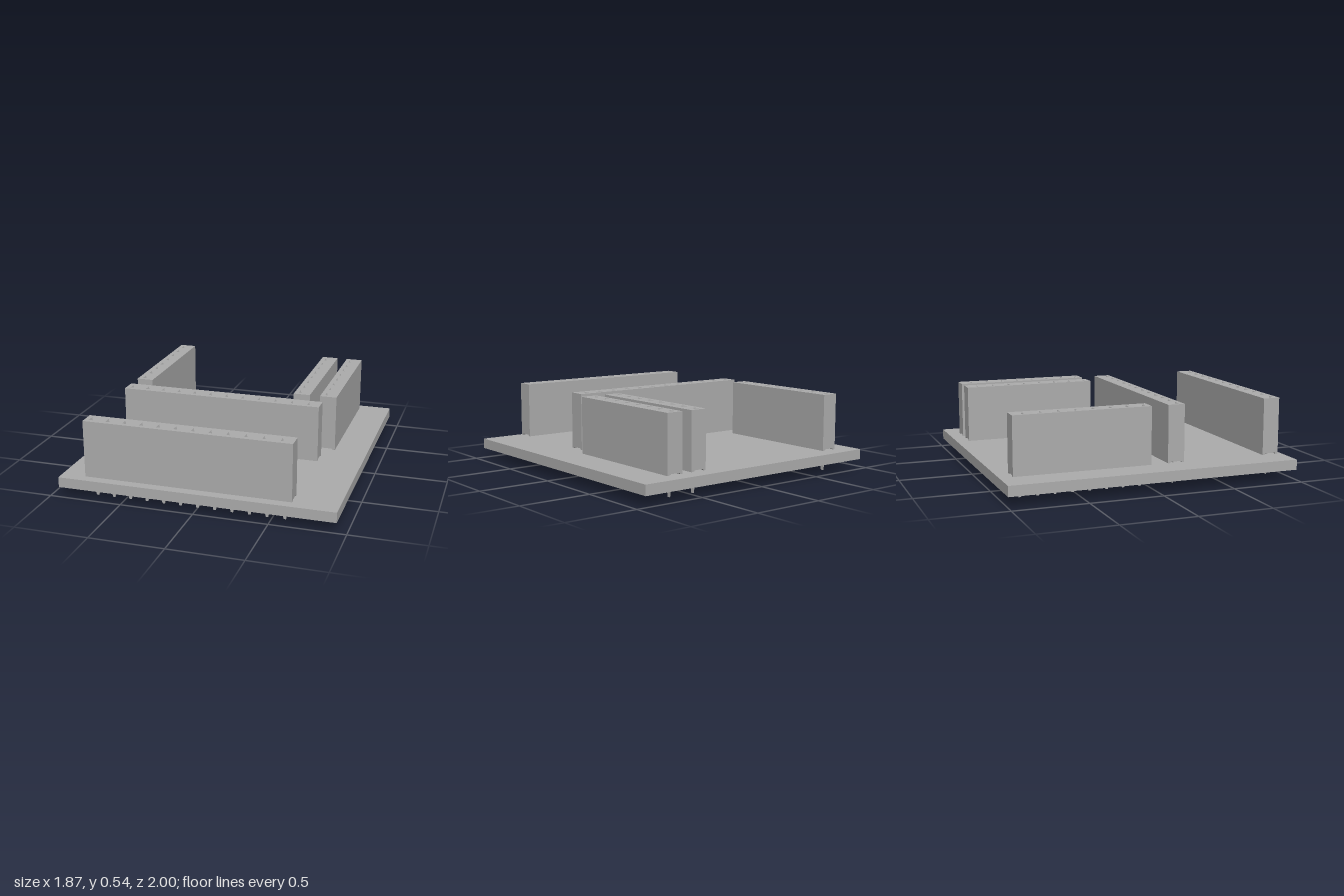
import * as THREE from 'three';

const PITCH = 0.1168;
const grey = new THREE.MeshStandardMaterial({ color: 0xacacac, side: THREE.DoubleSide });
grey.name = 'plain grey';
grey.flatShading = true;

function mesh(name, geometry, parent) {
  const m = new THREE.Mesh(geometry, grey);
  m.name = name;
  parent.add(m);
  return m;
}

function polygon(points) {
  return new THREE.Shape(points.map(([x, y]) => new THREE.Vector2(x, y)));
}

// Socket block with square wells that narrow below a funnel mouth
function housingGeometry(centres, length, width, bottom, top) {
  const l = length / 2, w = width / 2, mouth = 0.028, well = 0.018;
  const shape = polygon([[-l, -w], [l, -w], [l, w], [-l, w]]);
  for (const c of centres) {
    shape.holes.push(polygon([[c - mouth, -mouth], [c - mouth, mouth], [c + mouth, mouth], [c + mouth, -mouth]]));
  }
  const height = top - bottom;
  const geo = new THREE.ExtrudeGeometry(shape, { depth: height, steps: 2, bevelEnabled: false });
  const p = geo.attributes.position;
  for (let i = 0; i < p.count; i++) {
    const z = p.getZ(i);
    if (z > height * 0.9) continue;
    if (z > height * 0.1) p.setZ(i, height - 0.025);
    if (Math.abs(p.getY(i)) < w - 0.001) {
      const x = p.getX(i);
      const c = centres.reduce((a, b) => (Math.abs(b - x) < Math.abs(a - x) ? b : a));
      p.setX(i, c + Math.sign(x - c) * well);
      p.setY(i, Math.sign(p.getY(i)) * well);
    }
  }
  geo.computeVertexNormals();
  geo.rotateX(-Math.PI / 2);
  geo.translate(0, bottom, 0);
  return geo;
}

// Closed floor of the block, with a shallow groove underneath
function floorGeometry(length, width) {
  const w = width / 2;
  const geo = new THREE.ExtrudeGeometry(polygon([
    [-w, 0.148], [-w + 0.014, 0.148], [-w + 0.022, 0.157], [w - 0.022, 0.157],
    [w - 0.014, 0.148], [w, 0.148], [w, 0.175], [-w, 0.175],
  ]), { depth: length, bevelEnabled: false });
  geo.translate(0, 0, -length / 2);
  geo.rotateY(Math.PI / 2);
  return geo;
}

// Flat solder pin with a tapered tip
function pinGeometry() {
  const geo = new THREE.ExtrudeGeometry(polygon([
    [-0.008, 0], [0.008, 0], [0.013, 0.025], [0.014, 0.045],
    [0.014, 0.16], [-0.014, 0.16], [-0.014, 0.045], [-0.013, 0.025],
  ]), { depth: 0.007, bevelEnabled: false });
  geo.translate(0, 0, -0.0035);
  return geo;
}

// One complete row of sockets, running along its local x axis
function makeHeader(name, count, width = 0.116) {
  const header = new THREE.Group();
  header.name = name;
  const length = count * PITCH;
  const centres = Array.from({ length: count }, (_, i) => (i - (count - 1) / 2) * PITCH);
  mesh('socketHousing', housingGeometry(centres, length, width, 0.175, 0.537), header);
  mesh('housingFloor', floorGeometry(length, width), header);
  const pin = pinGeometry();
  const leaf = new THREE.BoxGeometry(0.024, 0.32, 0.006);
  for (const c of centres) {
    mesh('solderPin', pin, header).position.x = c;
    for (const side of [-1, 1]) {
      mesh('contactLeaf', leaf, header).position.set(c, 0.335, side * 0.009);
    }
  }
  return header;
}

export function createModel() {
  const model = new THREE.Group();
  model.name = 'socketBoard';

  // Base board
  mesh('board', new THREE.BoxGeometry(1.87, 0.07, 2), model).position.y = 0.105;

  // Two long rows across the board
  for (const [name, z] of [['middleHeader', 0.19], ['frontHeader', 0.893]]) {
    const header = makeHeader(name, 12);
    header.position.set(-0.061, 0, z);
    model.add(header);
  }

  // Three short rows running front to back
  for (const [name, x] of [['rightHeader', -0.703], ['innerLeftHeader', 0.465], ['outerLeftHeader', 0.653]]) {
    const header = makeHeader(name, 8);
    header.rotation.y = Math.PI / 2;
    header.position.set(x, 0, -0.453);
    model.add(header);
  }
  return model;
}
